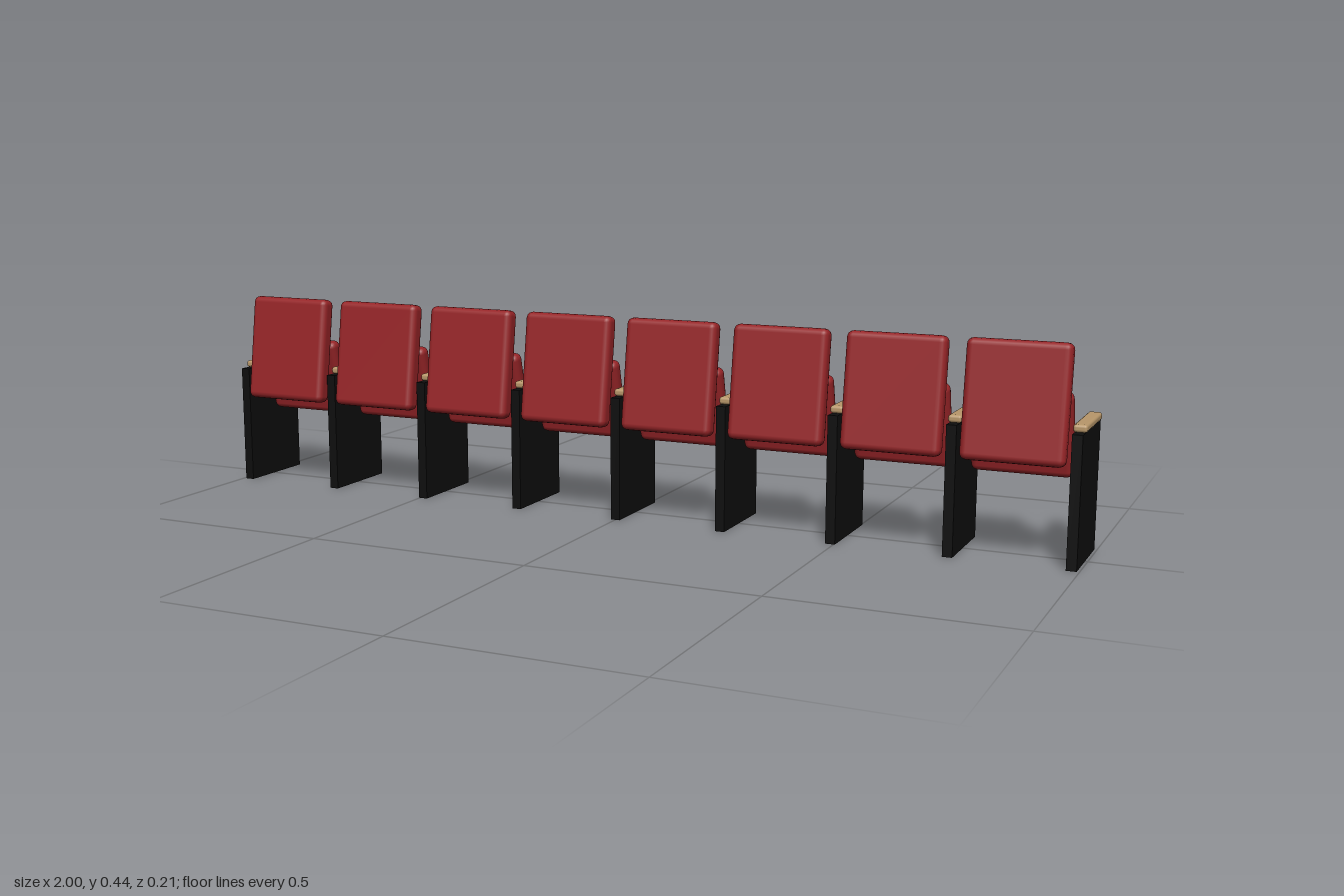
import * as THREE from 'three';
import { RoundedBoxGeometry } from 'three/addons/geometries/RoundedBoxGeometry.js';

const SEATS = 8;
const PITCH = 0.246;

export function createModel() {
  const group = new THREE.Group();
  group.name = 'seatRow';

  const material = (name, color) => {
    const m = new THREE.MeshStandardMaterial({ color });
    m.name = name;
    return m;
  };
  const red = material('redUpholstery', 0x962427);
  const black = material('blackPanel', 0x0e0e0e);
  const wood = material('paleWood', 0xb8976a);

  // Geometries shared by every repeat
  const backGeometry = new RoundedBoxGeometry(0.208, 0.242, 0.04, 2, 0.014);
  const cushionGeometry = new RoundedBoxGeometry(0.206, 0.18, 0.034, 2, 0.014);
  const panelGeometry = new THREE.BoxGeometry(0.021, 0.27, 0.188);
  const armGeometry = new RoundedBoxGeometry(0.028, 0.016, 0.163, 2, 0.006);

  const add = (name, geometry, mat, x, y, z, tilt = 0) => {
    const mesh = new THREE.Mesh(geometry, mat);
    mesh.name = name;
    mesh.position.set(x, y, z);
    mesh.rotation.x = tilt;
    group.add(mesh);
  };

  // Reclined backrests and folded-up seat cushions
  for (let i = 0; i < SEATS; i++) {
    const x = (i - (SEATS - 1) / 2) * PITCH;
    add('backrest', backGeometry, red, x, 0.323, 0.068, -0.145);
    add('foldedSeat', cushionGeometry, red, x, 0.254, 0.007, 0.235);
  }

  // Side panels topped by armrests
  for (let i = 0; i <= SEATS; i++) {
    const x = (i - SEATS / 2) * PITCH;
    add('sidePanel', panelGeometry, black, x, 0.135, -0.009);
    add('armrest', armGeometry, wood, x, 0.278, -0.019);
  }
  return group;
}
